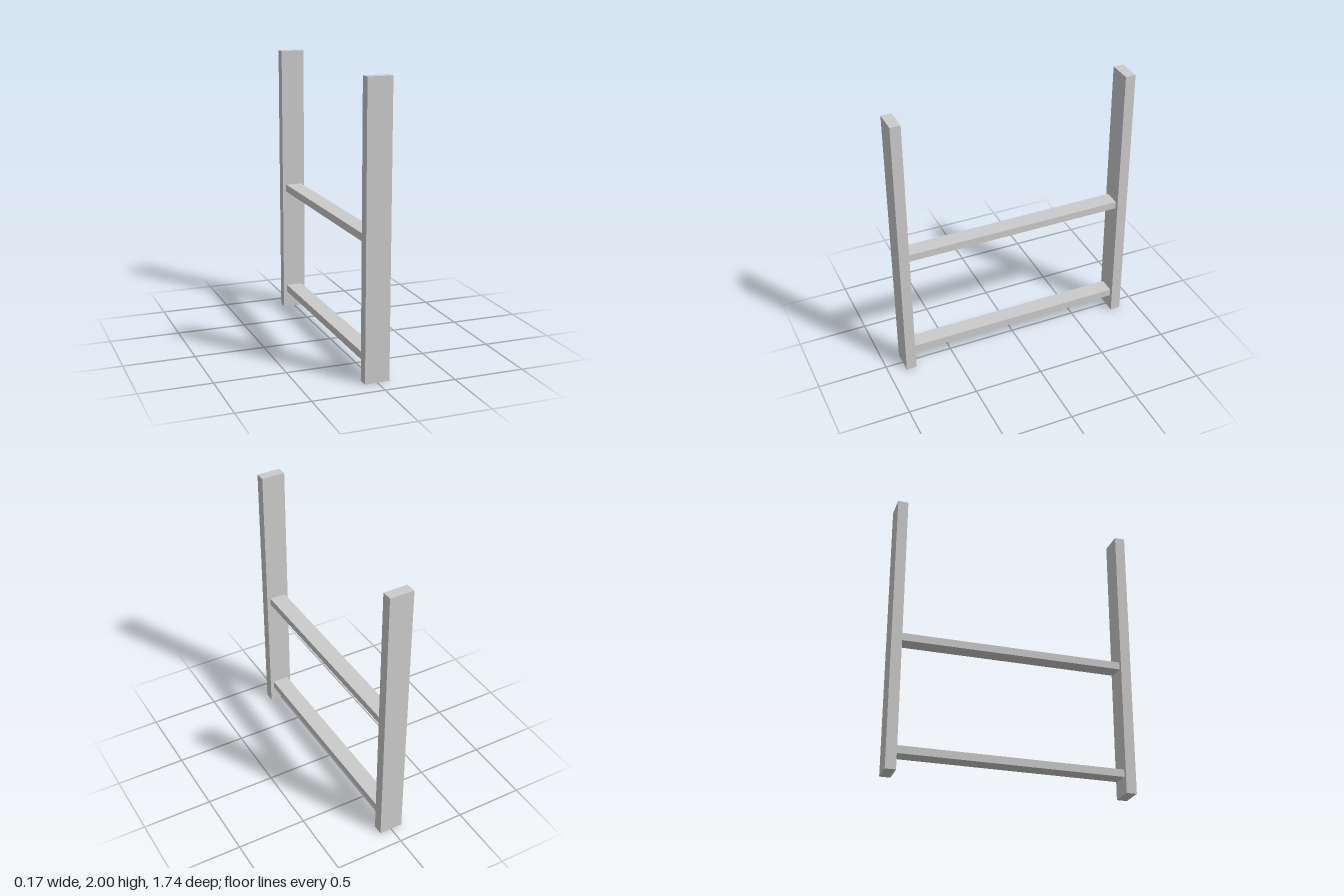
import * as THREE from 'three';

export function createModel() {
  const group = new THREE.Group();
  const material = new THREE.MeshStandardMaterial({ color: 0xcccccc, flatShading: true });

  const postDepth = 0.074, outerZ = 0.871;
  const innerZ = outerZ - postDepth;

  const addBeam = (name, w, h, d, y, z) => {
    const mesh = new THREE.Mesh(new THREE.BoxGeometry(w, h, d), material);
    mesh.name = name;
    mesh.position.set(0, y, z);
    group.add(mesh);
  };

  // Upright posts at the front and back
  for (const [name, side] of [['frontPost', 1], ['backPost', -1]]) {
    addBeam(name, 0.172, 2, postDepth, 1, side * (outerZ - postDepth / 2));
  }

  // Horizontal rails between the posts
  for (const [name, y] of [['lowerRail', 0.148], ['upperRail', 0.953]]) {
    addBeam(name, 0.12, 0.054, innerZ * 2, y, 0);
  }

  return group;
}
